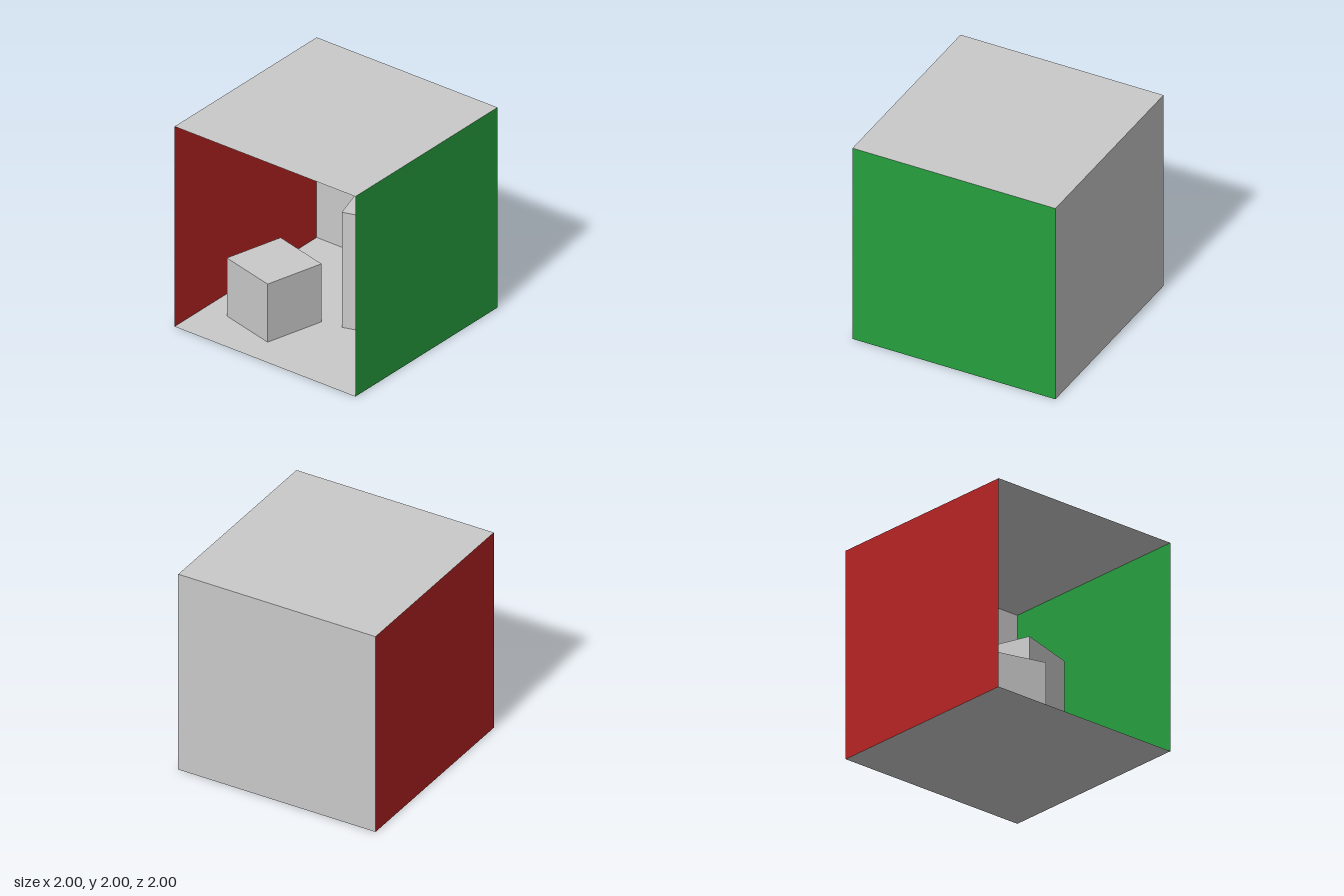
import * as THREE from 'three';

const flat = (name, color) => {
  const m = new THREE.MeshStandardMaterial({ color, side: THREE.DoubleSide });
  m.name = name;
  return m;
};

export function createModel() {
  const room = new THREE.Group();
  room.name = 'room';

  const grey = flat('grey', 0xc9c9c9);
  const red = flat('red', 0xb82323);
  const green = flat('green', 0x269f3e);

  // Five single-sheet sides of a cubic room, open towards +z
  const half = Math.PI / 2;
  const sides = [
    ['floor', grey, [0, 0, 0], [-half, 0, 0]],
    ['ceiling', grey, [0, 2, 0], [half, 0, 0]],
    ['backWall', grey, [0, 1, -1], [0, 0, 0]],
    ['redWall', red, [-1, 1, 0], [0, half, 0]],
    ['greenWall', green, [1, 1, 0], [0, -half, 0]],
  ];
  const sheet = new THREE.PlaneGeometry(2, 2);
  for (const [name, material, position, rotation] of sides) {
    const mesh = new THREE.Mesh(sheet, material);
    mesh.name = name;
    mesh.position.set(...position);
    mesh.rotation.set(...rotation);
    room.add(mesh);
  }

  // Two blocks standing on the floor, each turned a little
  const addBlock = (name, [w, h, d], x, z, degrees) => {
    const mesh = new THREE.Mesh(new THREE.BoxGeometry(w, h, d), grey);
    mesh.name = name;
    mesh.position.set(x, h / 2, z);
    mesh.rotation.y = THREE.MathUtils.degToRad(degrees);
    room.add(mesh);
  };
  addBlock('shortBlock', [0.583, 0.58, 0.59], -0.403, 0.358, -14.3);
  addBlock('tallBlock', [0.598, 1.15, 0.598], 0.347, -0.264, 17.5);

  return room;
}
